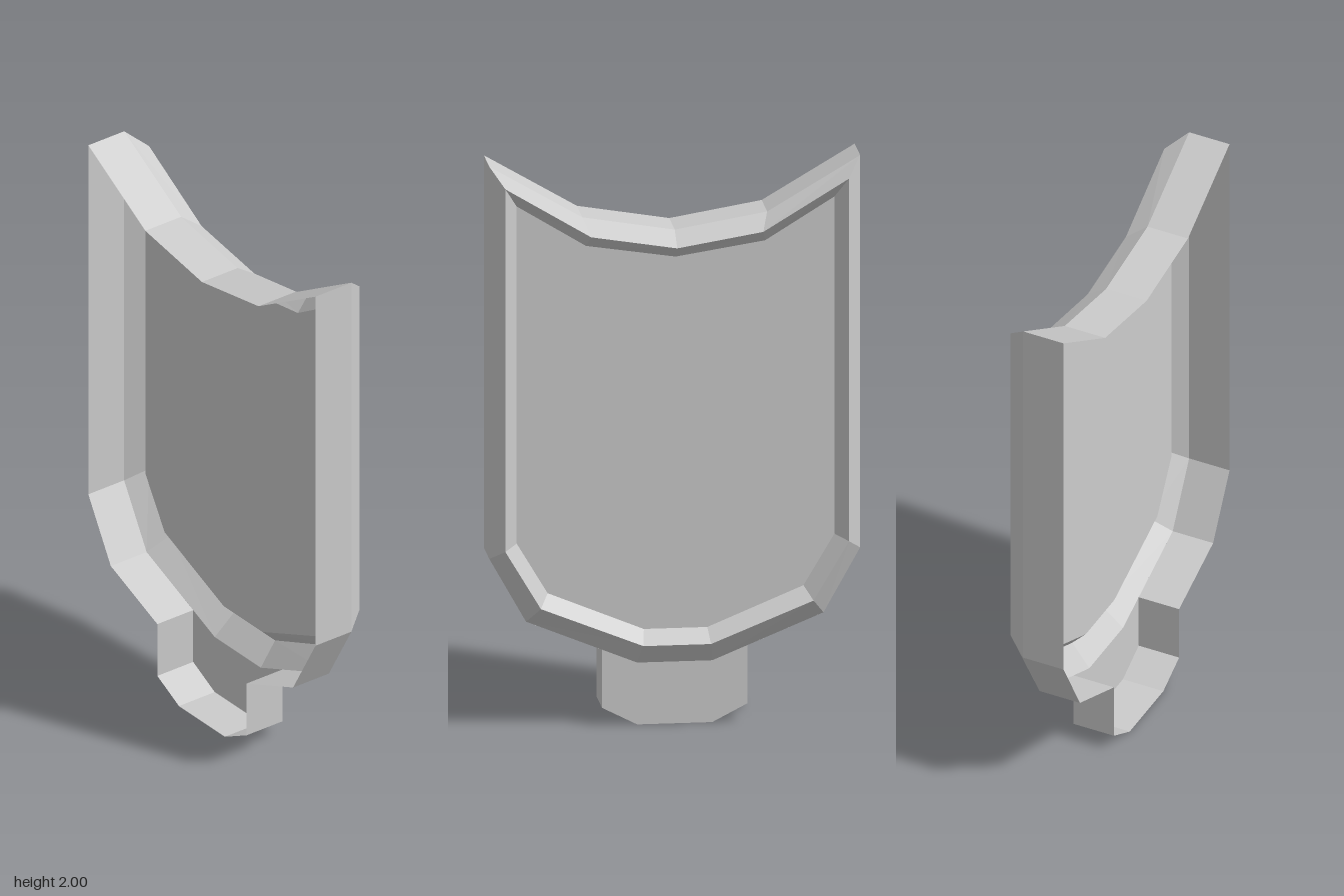
import * as THREE from 'three';

const BACK = -0.115, FRONT = 0.04, RIDGE = 0.112, PANEL = 0.063;

// Half outlines as [z, y], from top centre down the +z side to the bottom.
const OUTER = [[0, 1.756], [0.32, 1.81], [0.642, 2], [0.642, 0.605], [0.515, 0.378], [0.13, 0.22]];
const CREST = [[0, 1.708], [0.298, 1.757], [0.595, 1.937], [0.595, 0.647], [0.472, 0.44], [0.117, 0.297]];
const INNER = [[0, 1.666], [0.31, 1.714], [0.55, 1.862], [0.55, 0.663], [0.443, 0.483], [0.11, 0.345]];
const TAB = [[0.252, 0.27], [0.252, 0.063], [0.13, 0]];

// Closes a half outline by mirroring it in z; points on the axis are kept once.
function mirror(half) {
  const other = half.filter(([z]) => z > 0).map(([z, y]) => [-z, y]).reverse();
  return [...half, ...other];
}

// Faceted band between two closed outlines at depths xa and xb.
function band(a, xa, b, xb) {
  const pos = [];
  const n = a.length;
  for (let i = 0; i < n; i++) {
    const j = (i + 1) % n;
    const p = [xa, a[i][1], a[i][0]], q = [xa, a[j][1], a[j][0]];
    const r = [xb, b[j][1], b[j][0]], s = [xb, b[i][1], b[i][0]];
    pos.push(...p, ...q, ...r, ...p, ...r, ...s);
  }
  const geo = new THREE.BufferGeometry();
  geo.setAttribute('position', new THREE.Float32BufferAttribute(pos, 3));
  geo.computeVertexNormals();
  return geo;
}

// Flat face filling an outline, facing +x.
function plate(ring, x) {
  const shape = new THREE.Shape(ring.map(([z, y]) => new THREE.Vector2(-z, y)));
  return new THREE.ShapeGeometry(shape).rotateY(Math.PI / 2).translate(x, 0, 0);
}

export function createModel() {
  const group = new THREE.Group();
  const grey = new THREE.MeshStandardMaterial({ color: 0xcccccc, flatShading: true, side: THREE.DoubleSide });
  grey.name = 'plain grey';

  const add = (name, geometry) => {
    const mesh = new THREE.Mesh(geometry, grey);
    mesh.name = name;
    group.add(mesh);
  };

  const outer = mirror(OUTER), crest = mirror(CREST), inner = mirror(INNER);

  // Side wall follows the shield and the tab in one outline, open at the back
  const wall = mirror([...OUTER.slice(0, -1), ...TAB]);
  add('sideWall', band(wall, BACK, wall, FRONT));

  // Raised rim: outer and inner slopes meeting at a ridge
  add('rimOuterSlope', band(outer, FRONT, crest, RIDGE));
  add('rimInnerSlope', band(crest, RIDGE, inner, PANEL));

  // Sunken centre panel
  add('centrePanel', plate(inner, PANEL));

  // Tab face below the rim
  add('bottomTab', plate(mirror([[0.13, 0.22], ...TAB]), FRONT));

  return group;
}
